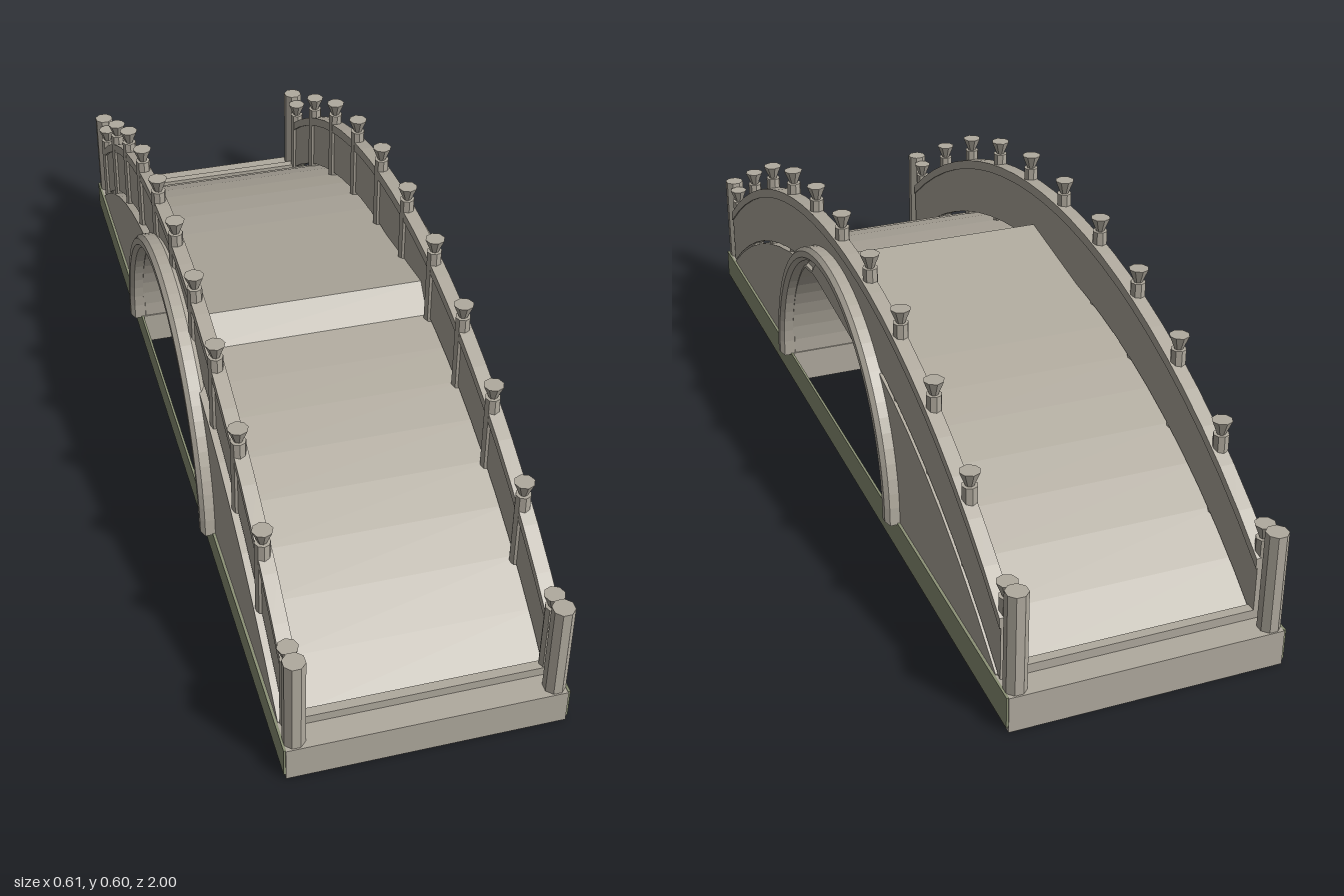
import * as THREE from 'three';

const RADIUS = 1.53; // radius of the long deck curve
const curve = (z) => Math.sqrt(RADIUS * RADIUS - z * z) - RADIUS; // drop below the crown

export function createModel() {
  const bridge = new THREE.Group();
  bridge.name = 'archBridge';
  const stone = new THREE.MeshStandardMaterial({ color: 0xb0aa9e });
  stone.name = 'stone';
  const moss = new THREE.MeshStandardMaterial({ color: 0x8c9276 });
  moss.name = 'mossGreen';

  const add = (name, geometry, material = stone) => {
    const mesh = new THREE.Mesh(geometry, material);
    mesh.name = name;
    bridge.add(mesh);
    return mesh;
  };
  const box = (name, x0, x1, y0, y1, z0, z1, material) => {
    const g = new THREE.BoxGeometry(x1 - x0, y1 - y0, z1 - z0);
    g.translate((x0 + x1) / 2, (y0 + y1) / 2, (z0 + z1) / 2);
    return add(name, g, material);
  };
  // Extrude a (z, y) outline across x
  const across = (name, points, x0, x1) => {
    const shape = new THREE.Shape(points.map(([z, y]) => new THREE.Vector2(z, y)));
    const g = new THREE.ExtrudeGeometry(shape, { depth: x1 - x0, bevelEnabled: false });
    g.rotateY(-Math.PI / 2).translate(x1, 0, 0);
    return add(name, g);
  };
  // Band that follows the deck curve between two crown heights
  const band = (name, low, high, end, x0, x1) => {
    const n = 24, lower = [], upper = [];
    for (let i = 0; i <= n; i++) {
      const z = end - (2 * end * i) / n;
      lower.push([z, low + curve(z)]);
      upper.unshift([z, high + curve(z)]);
    }
    return across(name, [...lower, ...upper], x0, x1);
  };

  // Deck top: long curve with a raised crown
  const deckY = (z) => {
    const y = 0.393 + curve(z);
    if (z >= 0.18 || z <= -0.27) return y;
    if (z > 0.13) return THREE.MathUtils.lerp(0.435, 0.383, (z - 0.13) / 0.05);
    return THREE.MathUtils.lerp(0.369, 0.437, (z + 0.27) / 0.4);
  };
  const stops = [0.18, 0.13, -0.27];
  for (let i = 0; i <= 20; i++) {
    const z = 0.93 - 0.093 * i;
    if (z > 0.19 || z < -0.28) stops.push(z);
  }
  stops.sort((a, b) => b - a);
  const outline = [[0.93, 0.07], ...stops.map((z) => [z, deckY(z)]), [-0.93, 0.07]];
  // Vault below the deck, cut off by a sloping ceiling
  for (let i = 0; i <= 32; i++) {
    const a = Math.PI * (1 - i / 32);
    const z = 0.378 * Math.cos(a);
    const y = 0.075 + 0.378 * Math.sin(a);
    outline.push([z, Math.min(y, 0.362 + 0.1 * z, deckY(z) - 0.008)]);
  }
  across('deckAndVault', outline, -0.275, 0.275);

  for (const s of [1, -1]) {
    // Foundations and sills at both ends
    box('foundation', -0.277, 0.277, 0, 0.076, s > 0 ? 0.375 : -1, s > 0 ? 1 : -0.375);
    box('sill', -0.265, 0.265, 0.075, 0.095, s * 0.935 - 0.01, s * 0.935 + 0.01);

    // Green strip along each side
    box('sideStrip', s * 0.2785 - 0.0025, s * 0.2785 + 0.0025, 0.01, 0.0765, -0.998, 0.998, moss);

    // Raised arch moulding
    const ring = new THREE.Shape();
    ring.absarc(0, 0, 0.399, 0, Math.PI, false);
    ring.absarc(0, 0, 0.385, Math.PI, 0, true);
    const g = new THREE.ExtrudeGeometry(ring, {
      depth: 0.025, curveSegments: 20, bevelSize: 0.008, bevelThickness: 0.009, bevelSegments: 1,
    });
    g.rotateY(-Math.PI / 2).translate(s > 0 ? 0.296 : -0.271, 0.081, 0);
    add('archMoulding', g);

    // Parapet wall and hand rail
    const c = s * 0.256;
    band('parapetWall', 0.4, 0.52, 0.945, c - 0.006, c + 0.016);
    band('handRail', 0.516, 0.538, 0.945, c - 0.011, c + 0.019);

    // Balusters with flared caps
    for (let i = -5; i <= 5; i++) {
      const z = Math.abs(i) === 5 ? Math.sign(i) * 0.932 : i * 0.1875;
      const top = 0.54 + curve(z);
      const post = new THREE.CylinderGeometry(0.016, 0.016, 0.175, 8);
      post.translate(c, top + 0.025 - 0.0875, z);
      add('baluster', post.toNonIndexed()).geometry.computeVertexNormals();
      const cap = new THREE.CylinderGeometry(0.021, 0.008, 0.032, 8);
      cap.translate(c, top + 0.039, z);
      add('flaredCap', cap.toNonIndexed()).geometry.computeVertexNormals();
    }

    // Stout end posts
    for (const e of [1, -1]) {
      const post = new THREE.CylinderGeometry(0.0225, 0.0225, 0.212, 8);
      post.rotateY(Math.PI / 8).translate(c, 0.181, e * 0.976);
      add('endPost', post.toNonIndexed()).geometry.computeVertexNormals();
    }
  }
  return bridge;
}
